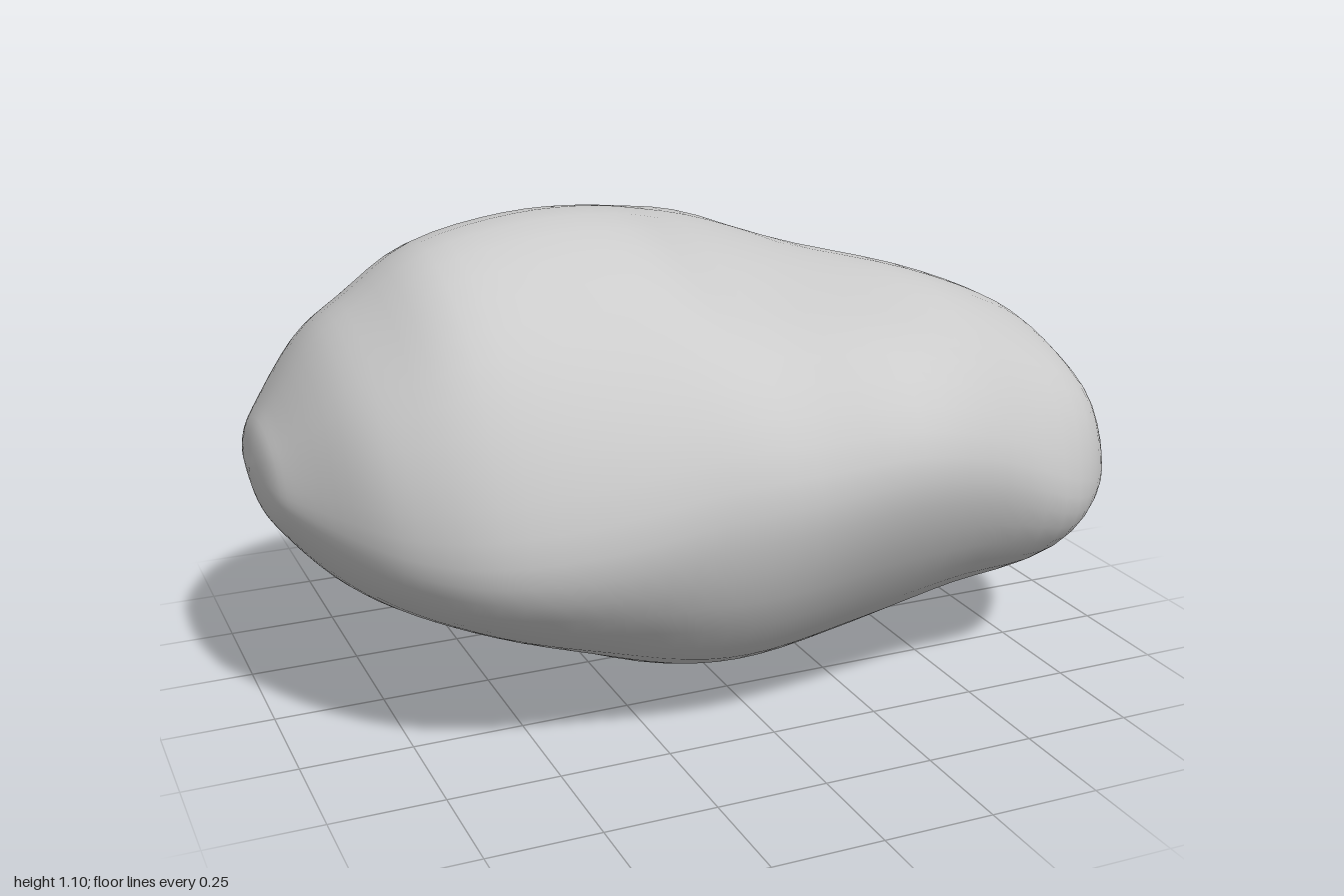
import * as THREE from 'three';
import { mergeVertices } from 'three/addons/utils/BufferGeometryUtils.js';

// Cross-sections along x: [x, topY, topZ, bottomY, bottomZ, frontZ, frontY, backZ, backY]
const SECTIONS = [
  [-1.0, 0.57, -0.08, 0.57, -0.08, -0.08, 0.57, -0.08, 0.57],
  [-0.985, 0.65, -0.08, 0.49, -0.08, 0.07, 0.56, -0.24, 0.56],
  [-0.95, 0.71, -0.08, 0.43, -0.08, 0.17, 0.55, -0.36, 0.54],
  [-0.86, 0.86, -0.06, 0.33, -0.08, 0.33, 0.53, -0.47, 0.52],
  [-0.76, 0.95, -0.03, 0.265, -0.07, 0.45, 0.51, -0.555, 0.49],
  [-0.62, 1.055, 0.0, 0.205, -0.06, 0.55, 0.51, -0.59, 0.47],
  [-0.4, 1.097, -0.02, 0.115, -0.05, 0.61, 0.53, -0.62, 0.46],
  [-0.18, 1.087, -0.07, 0.025, -0.05, 0.64, 0.57, -0.66, 0.44],
  [0.02, 1.03, -0.17, 0.0, -0.06, 0.665, 0.59, -0.69, 0.43],
  [0.25, 0.975, -0.1, 0.035, -0.07, 0.68, 0.61, -0.67, 0.42],
  [0.5, 0.925, 0.08, 0.095, -0.06, 0.615, 0.55, -0.61, 0.39],
  [0.74, 0.825, 0.1, 0.155, 0.0, 0.52, 0.45, -0.43, 0.38],
  [0.87, 0.72, 0.1, 0.26, 0.04, 0.425, 0.43, -0.28, 0.4],
  [0.95, 0.61, 0.08, 0.36, 0.05, 0.31, 0.44, -0.13, 0.43],
  [0.99, 0.5, 0.05, 0.43, 0.05, 0.13, 0.45, -0.02, 0.45],
  [1.0, 0.45, 0.05, 0.45, 0.05, 0.05, 0.45, 0.05, 0.45],
];

// Local hollows (negative) and bulges: [x, y, z, radius, amount]
const DENTS = [
  // valley between the two humps
  [-0.35, 0.93, 0.38, 0.22, -0.025],
  [0.0, 0.93, 0.3, 0.2, -0.015],
  // back end of the ridge and the slopes beside it
  [0.1, 0.95, -0.38, 0.19, 0.04],
  [0.5, 0.86, -0.22, 0.22, -0.025],
  [0.1, 0.7, -0.6, 0.17, -0.015],
  // right hump and its lower corner
  [0.3, 0.84, 0.52, 0.2, 0.03],
  [0.8, 0.63, 0.42, 0.16, 0.03],
  [0.67, 0.37, 0.5, 0.13, 0.02],
  // full belly below the front, and the left shoulder
  [-0.12, 0.28, 0.5, 0.22, 0.025],
  [-0.5, 0.33, 0.45, 0.2, 0.02],
  [-0.78, 0.7, 0.38, 0.17, 0.02],
];

// Roundness of the quarters: top front, top back, bottom back, bottom front
const POWERS = [1.9, 1.65, 1.55, 1.85];
const STEPS = 4; // rings between two sections
const SIDES = 48;

// Smooth closed outline through the four extremes and a point between each pair
function sectionCurve([x, topY, topZ, bottomY, bottomZ, frontZ, frontY, backZ, backY]) {
  const extremes = [[frontZ, frontY], [topZ, topY], [backZ, backY], [bottomZ, bottomY]];
  const points = [];
  extremes.forEach((a, i) => {
    const b = extremes[(i + 1) % 4];
    const [side, end] = i % 2 ? [b, a] : [a, b];
    const k = 0.5 ** (1 / POWERS[i]);
    points.push(new THREE.Vector3(x, a[1], a[0]));
    points.push(new THREE.Vector3(
      x, side[1] + (end[1] - side[1]) * k, end[0] + (side[0] - end[0]) * k));
  });
  return new THREE.CatmullRomCurve3(points, true, 'catmullrom', 0.5);
}

function rockGeometry() {
  const spline = new THREE.CubicInterpolant(
    SECTIONS.map((_, i) => i), SECTIONS.flat(), SECTIONS[0].length, new Float32Array(SECTIONS[0].length));
  const rings = (SECTIONS.length - 1) * STEPS;
  const middle = new THREE.Vector3(0, 0.53, 0);
  const positions = [], indices = [];

  for (let i = 0; i <= rings; i++) {
    const curve = sectionCurve(spline.evaluate(i / STEPS));
    for (let j = 0; j < SIDES; j++) {
      const p = curve.getPoint(j / SIDES);
      const out = p.clone().sub(middle).normalize();
      let shift = 0;
      for (const [x, y, z, r, amount] of DENTS) {
        const d = p.distanceTo(new THREE.Vector3(x, y, z)) / r;
        shift += amount * Math.exp(-d * d);
      }
      p.addScaledVector(out, shift);
      positions.push(p.x, p.y, p.z);
      if (i === rings) continue;
      const a = i * SIDES + j, b = i * SIDES + ((j + 1) % SIDES);
      // the two ends close in a point
      if (i < rings - 1) indices.push(a + SIDES, b + SIDES, b);
      if (i > 0) indices.push(a, a + SIDES, b);
    }
  }
  let geometry = new THREE.BufferGeometry();
  geometry.setAttribute('position', new THREE.Float32BufferAttribute(positions, 3));
  geometry.setIndex(indices);
  geometry = mergeVertices(geometry, 1e-5);
  geometry.computeVertexNormals();
  return geometry;
}

export function createModel() {
  const group = new THREE.Group();
  group.name = 'boulder';
  const rock = new THREE.Mesh(rockGeometry(), new THREE.MeshStandardMaterial({ color: 0xcccccc }));
  rock.name = 'rock';
  group.add(rock);
  return group;
}
